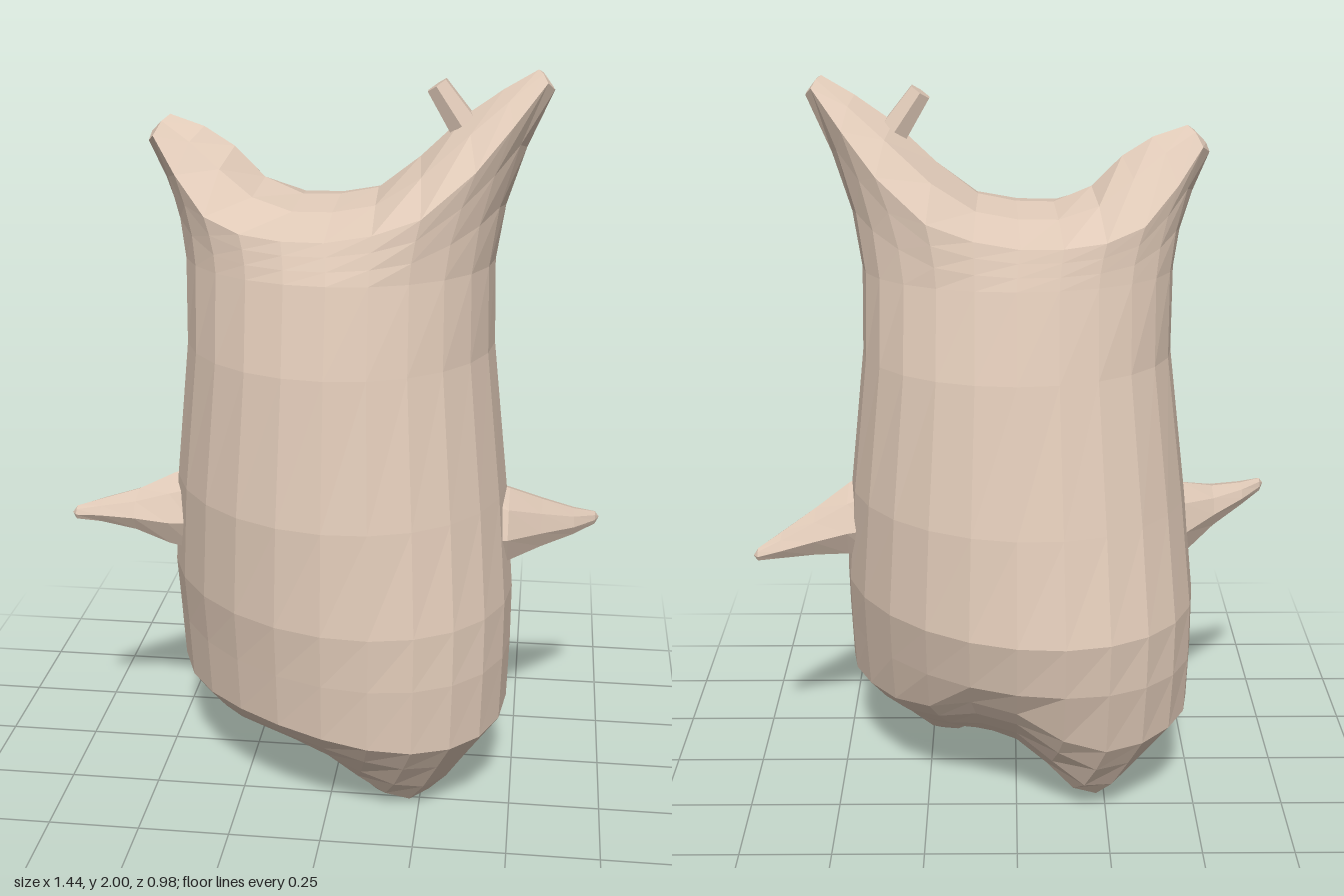
import * as THREE from 'three';

const N = 24; // points around the body
const V = (x, y, z) => new THREE.Vector3(x, y, z);
const { lerp } = THREE.MathUtils;

// Skin a list of closed rings, each an array of Vector3
function skin(rings) {
  const n = rings[0].length;
  const pos = [], index = [];
  rings.forEach(r => r.forEach(p => pos.push(p.x, p.y, p.z)));
  for (let i = 0; i < rings.length - 1; i++) {
    for (let j = 0; j < n; j++) {
      const a = i * n + j, b = i * n + (j + 1) % n, c = a + n, d = b + n;
      index.push(a, c, b, b, c, d);
    }
  }
  const g = new THREE.BufferGeometry();
  g.setAttribute('position', new THREE.Float32BufferAttribute(pos, 3));
  g.setIndex(index);
  g.computeVertexNormals();
  return g;
}

const around = fn => Array.from({ length: N }, (_, j) => fn(j, j / N * Math.PI * 2));

// Trunk levels: y, right width, left width, front depth, back depth, stride skew
const LEVELS = [
  [0.30, 0.48, 0.48, 0.465, 0.40, 0.29],
  [0.45, 0.485, 0.487, 0.475, 0.45, 0.26],
  [0.60, 0.485, 0.49, 0.485, 0.48, 0.20],
  [0.88, 0.46, 0.465, 0.465, 0.43, 0.09],
  [1.27, 0.415, 0.42, 0.405, 0.345, 0],
  [1.50, 0.41, 0.42, 0.35, 0.28, 0]
];

// Underside shaping: x, z, depth, spread (front foot, back foot, belly, raised rear edge)
const DIPS = [
  [0.21, 0.23, 0.20, 0.13],
  [-0.21, -0.26, 0.15, 0.10],
  [-0.22, 0.0, 0.085, 0.14],
  [0.08, -0.40, -0.09, 0.13]
];

// Head rim from right ear to left ear: rim x, rim y, half depth, ridge x, ridge y
const RIM = [
  [0.548, 1.95, 0, 0.535, 1.965], [0.53, 1.97, 0.032, 0.505, 2.0],
  [0.45, 1.87, 0.10, 0.42, 1.95], [0.36, 1.765, 0.17, 0.32, 1.88],
  [0.23, 1.66, 0.25, 0.21, 1.775], [0.11, 1.62, 0.268, 0.10, 1.69],
  [-0.01, 1.60, 0.272, 0, 1.67], [-0.12, 1.60, 0.268, -0.10, 1.668],
  [-0.23, 1.61, 0.245, -0.20, 1.71], [-0.33, 1.64, 0.19, -0.28, 1.79],
  [-0.42, 1.73, 0.11, -0.36, 1.84], [-0.488, 1.82, 0.048, -0.45, 1.87],
  [-0.51, 1.80, 0, -0.49, 1.835]
];

function levelRing([y, right, left, front, back, skew], s = 1) {
  return around((j, a) => {
    const x = Math.cos(a) * (Math.cos(a) > 0 ? right : left) * s;
    const z = Math.sin(a) * (Math.sin(a) > 0 ? front : back) * s + skew * x;
    return V(x, y, z);
  });
}

function bodyGeometry() {
  const rings = [];
  // Underside with a forward foot on one side and a trailing foot on the other
  for (const s of [0, 0.15, 0.3, 0.42, 0.54, 0.66, 0.78, 0.9, 1]) {
    const ring = levelRing(LEVELS[0], s);
    for (const p of ring) {
      p.y = 0.175 + 0.125 * s ** 4.2;
      for (const [x, z, depth, spread] of DIPS) {
        p.y -= depth * Math.exp(-((p.x - x) ** 2 + (p.z - z) ** 2) / (2 * spread ** 2));
      }
      p.y = Math.max(0, p.y);
    }
    rings.push(ring);
  }
  LEVELS.slice(1).forEach(l => rings.push(levelRing(l)));

  // Flare from the shoulders to the saddle-shaped rim and out into the ears
  const shoulder = rings[rings.length - 1];
  const station = j => RIM[Math.min(j, N - j)];
  const rim = around((j, a) => {
    const [x, y, h] = station(j);
    return V(x, y, 0.03 + Math.sign(Math.sin(a)) * h);
  });
  for (const t of [0.33, 0.67]) {
    rings.push(shoulder.map((p, j) => V(lerp(p.x, rim[j].x, t ** 1.6),
      lerp(p.y, rim[j].y, t), lerp(p.z, rim[j].z, t))));
  }
  rings.push(rim);

  // Crown closing on the ridge between the ears
  for (const [t, rise] of [[0.5, 0.7], [1, 1]]) {
    rings.push(rim.map((p, j) => {
      const [, , , x, y] = station(j);
      return V(lerp(p.x, x, t), lerp(p.y, y, rise), lerp(p.z, 0.03, t));
    }));
  }
  return skin(rings);
}

// Tapered arm; sections are x, y, z, half height, half depth
function armGeometry(side, sections) {
  return skin(sections.map(([x, y, z, h, d]) => Array.from({ length: 8 }, (_, j) => {
    const a = j / 8 * Math.PI * 2;
    return V(side * x, y + h * Math.cos(a), z - side * d * Math.sin(a));
  })));
}

export function createModel() {
  const group = new THREE.Group();
  const material = new THREE.MeshStandardMaterial({ color: 0xdfc9b7, flatShading: true });
  const add = (name, geometry) => {
    const mesh = new THREE.Mesh(geometry, material);
    mesh.name = name;
    group.add(mesh);
    return mesh;
  };

  add('body', bodyGeometry());

  // Arms: one swings back, the other forward
  add('leftArm', armGeometry(1, [
    [0.40, 0.765, 0.06, 0.13, 0.13], [0.47, 0.76, 0.04, 0.105, 0.125],
    [0.56, 0.745, -0.02, 0.068, 0.088], [0.65, 0.728, -0.08, 0.037, 0.052],
    [0.71, 0.72, -0.13, 0.018, 0.022], [0.722, 0.72, -0.138, 0, 0]
  ]));
  add('rightArm', armGeometry(-1, [
    [0.40, 0.755, 0.01, 0.13, 0.13], [0.47, 0.76, 0.035, 0.105, 0.12],
    [0.56, 0.776, 0.09, 0.058, 0.08], [0.65, 0.79, 0.145, 0.032, 0.048],
    [0.71, 0.798, 0.193, 0.019, 0.022], [0.722, 0.80, 0.20, 0, 0]
  ]));

  // Small stub on the inner side of the tall ear
  const knob = add('earKnob', new THREE.CylinderGeometry(0.032, 0.042, 0.12, 6));
  knob.position.set(0.282, 1.908, 0.03);
  knob.rotation.z = 0.6;

  return group;
}
